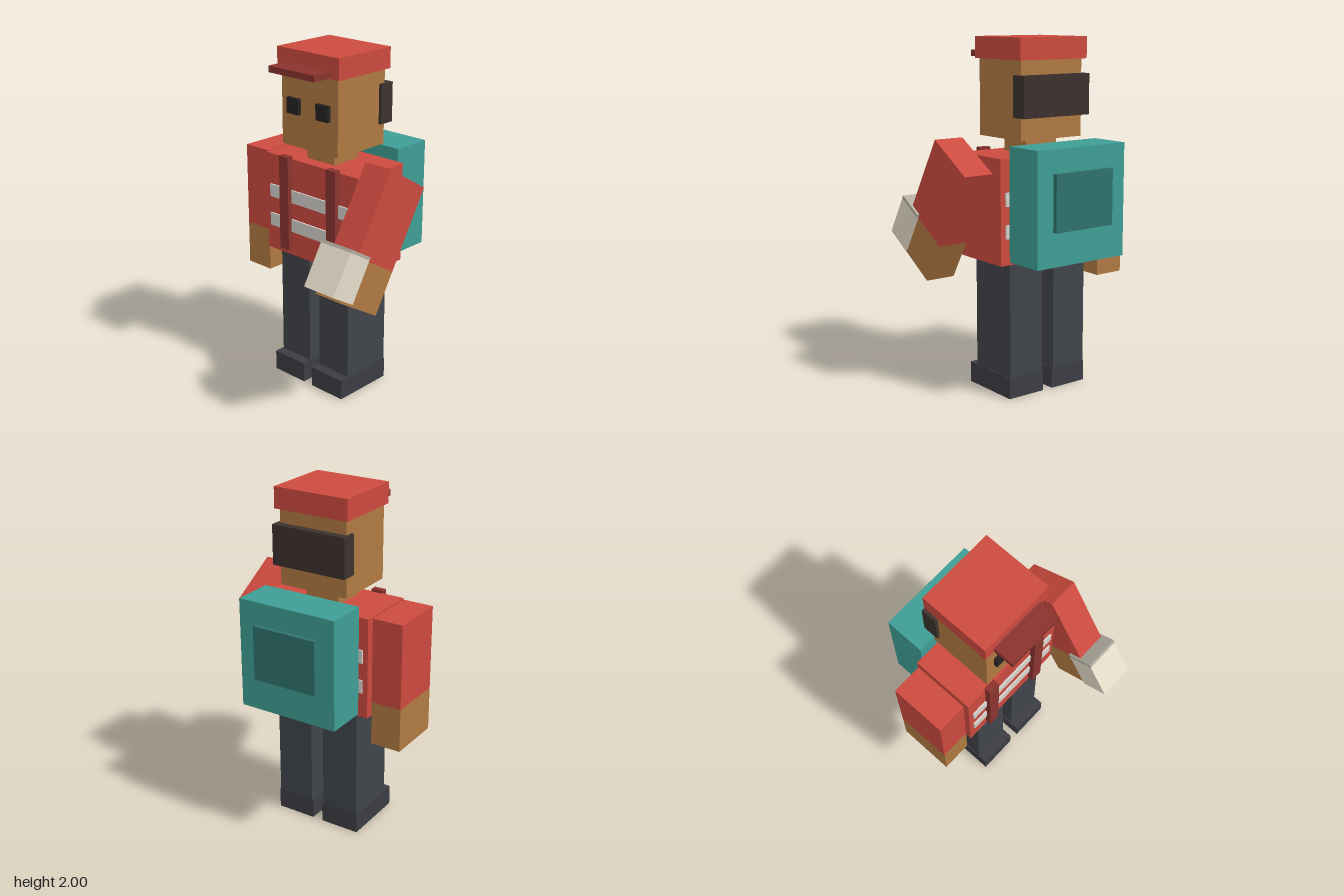
import * as THREE from 'three';

const COLORS = {
  red: 0xcc4a3f, darkRed: 0x8a332e, skin: 0xb07a42, teal: 0x3f9e95, darkTeal: 0x2f736d,
  trousers: 0x40444a, shoe: 0x3c3c44, hair: 0x3c322e, eye: 0x262322,
  stripe: 0xd6d3cc, cream: 0xe6ddca, lid: 0xb3ada0,
};
const materials = {};
for (const key in COLORS) {
  materials[key] = new THREE.MeshStandardMaterial({ color: COLORS[key], flatShading: true });
}

// Box given by its [min, max] extents along each axis
function box(parent, name, color, x, y, z) {
  const size = [x, y, z].map(([a, b]) => b - a);
  const mesh = new THREE.Mesh(new THREE.BoxGeometry(...size), materials[color]);
  mesh.position.set((x[0] + x[1]) / 2, (y[0] + y[1]) / 2, (z[0] + z[1]) / 2);
  mesh.name = name;
  parent.add(mesh);
  return mesh;
}

// Arm centred on its own origin: sleeve above, hand below
function arm(name, x, y, z) {
  const g = new THREE.Group();
  g.name = name;
  const w = [-0.09, 0.09], d = [-0.165, 0.165];
  box(g, 'sleeve', 'red', w, [-0.1175, 0.3725], d);
  box(g, 'hand', 'skin', w, [-0.3725, -0.1175], d);
  g.position.set(x, y, z);
  return g;
}

export function createModel() {
  const model = new THREE.Group();
  model.name = 'hiker';
  const body = new THREE.Group();
  body.name = 'body';
  body.position.x = -0.01; // the body sits slightly right of centre
  model.add(body);

  // Legs, shoes, straps and eyes, mirrored
  for (const s of [-1, 1]) {
    const side = s > 0 ? 'left' : 'right';
    const span = (a, b) => (s > 0 ? [a, b] : [-b, -a]);
    box(body, side + 'Leg', 'trousers', span(0.04, 0.265), [0.12, 0.78], [-0.224, 0.095]);
    box(body, side + 'Shoe', 'shoe', span(0.032, 0.27), [0, 0.12], [-0.225, 0.155]);
    box(body, side + 'Strap', 'darkRed', span(0.147, 0.217), [0.82, 1.38], [0.115, 0.155]);
    box(body, side + 'Eye', 'eye', span(0.065, 0.155), [1.64, 1.73], [0.12, 0.15]);
  }

  // Torso with two reflective bands front and back
  box(body, 'torso', 'red', [-0.35, 0.35], [0.78, 1.365], [-0.255, 0.12]);
  for (const y of [0.928, 1.105]) {
    box(body, 'frontStripe', 'stripe', [-0.32, 0.32], [y, y + 0.076], [0.115, 0.13]);
    box(body, 'backStripe', 'stripe', [-0.32, 0.32], [y, y + 0.076], [-0.264, -0.25]);
  }

  // Head, hair and cap
  box(body, 'neck', 'skin', [-0.105, 0.105], [1.36, 1.455], [-0.16, 0.04]);
  box(body, 'head', 'skin', [-0.21, 0.21], [1.45, 1.885], [-0.25, 0.128]);
  box(body, 'hair', 'hair', [-0.228, 0.228], [1.573, 1.8], [-0.298, -0.205]);
  box(body, 'cap', 'red', [-0.23, 0.23], [1.88, 2], [-0.272, 0.142]);
  box(body, 'capBrim', 'darkRed', [-0.17, 0.17], [1.885, 1.921], [0.13, 0.267]);

  // Backpack
  box(body, 'backpack', 'teal', [-0.302, 0.302], [0.8, 1.432], [-0.51, -0.27]);
  box(body, 'backpackPocket', 'darkTeal', [-0.196, 0.196], [0.99, 1.303], [-0.537, -0.505]);

  // Arms: right hangs straight, left swings forward
  model.add(arm('rightArm', -0.464, 0.9925, -0.066));
  const leftArm = arm('leftArm', 0.445, 1.048, 0.131);
  leftArm.rotation.x = -0.545;
  model.add(leftArm);

  // Cup held in the left hand, tilted with the arm
  const cup = new THREE.Group();
  cup.name = 'cup';
  const w = [-0.105, 0.105], d = [-0.0865, 0.0865];
  box(cup, 'cupBody', 'cream', w, [-0.133, 0.115], d);
  box(cup, 'cupLid', 'lid', w, [0.115, 0.133], d);
  cup.position.set(0.445, 0.944, 0.392);
  cup.rotation.x = -0.545;
  model.add(cup);

  return model;
}
